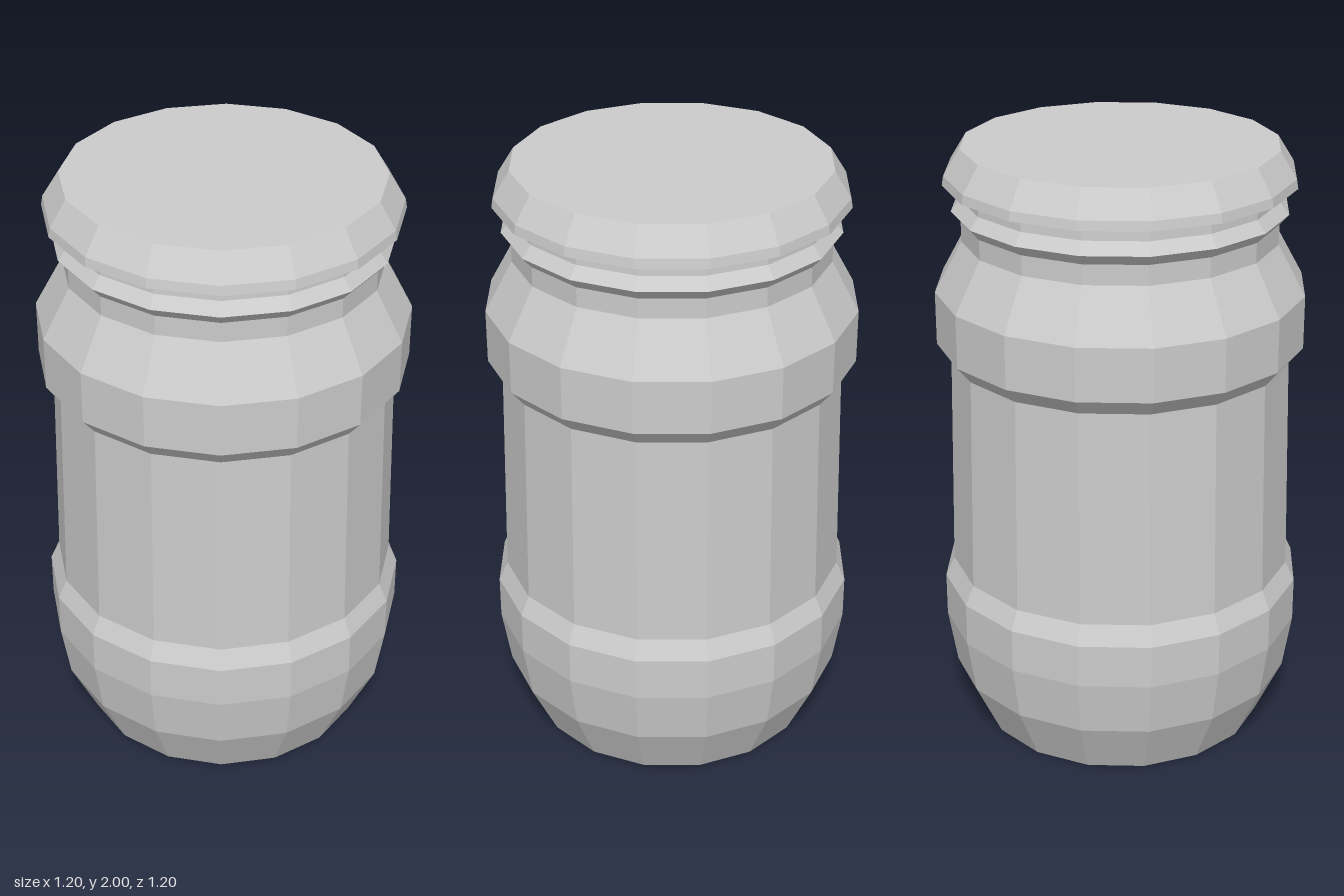
import * as THREE from 'three';

const SIDES = 16;

// Faceted solid of revolution from [radius, height] pairs, listed bottom to top
function turned(name, profile, side = THREE.FrontSide) {
  const points = profile.map(([r, y]) => new THREE.Vector2(r, y));
  const material = new THREE.MeshStandardMaterial({ color: 0xcccccc, flatShading: true, side });
  const mesh = new THREE.Mesh(new THREE.LatheGeometry(points, SIDES), material);
  mesh.name = name;
  return mesh;
}

export function createModel() {
  const jar = new THREE.Group();
  jar.name = 'jar';

  // Glass body: rounded base, recessed waist, shoulder, and neck rising into the lid
  jar.add(turned('body', [
    [0, 0], [0.48, 0], [0.57, 0.19], [0.6, 0.375], [0.6, 0.52],
    [0.57, 0.585], [0.555, 1.305],
    [0.6, 1.36], [0.6, 1.535], [0.51, 1.7], [0.51, 1.765],
    [0.54, 1.8], [0.51, 1.838], [0.505, 1.94], [0, 1.94],
  ]));

  // Thin lid, open underneath, with a bevelled rim
  jar.add(turned('lid', [
    [0.565, 1.885], [0.56, 1.915], [0.507, 2], [0, 2],
  ], THREE.DoubleSide));

  return jar;
}
